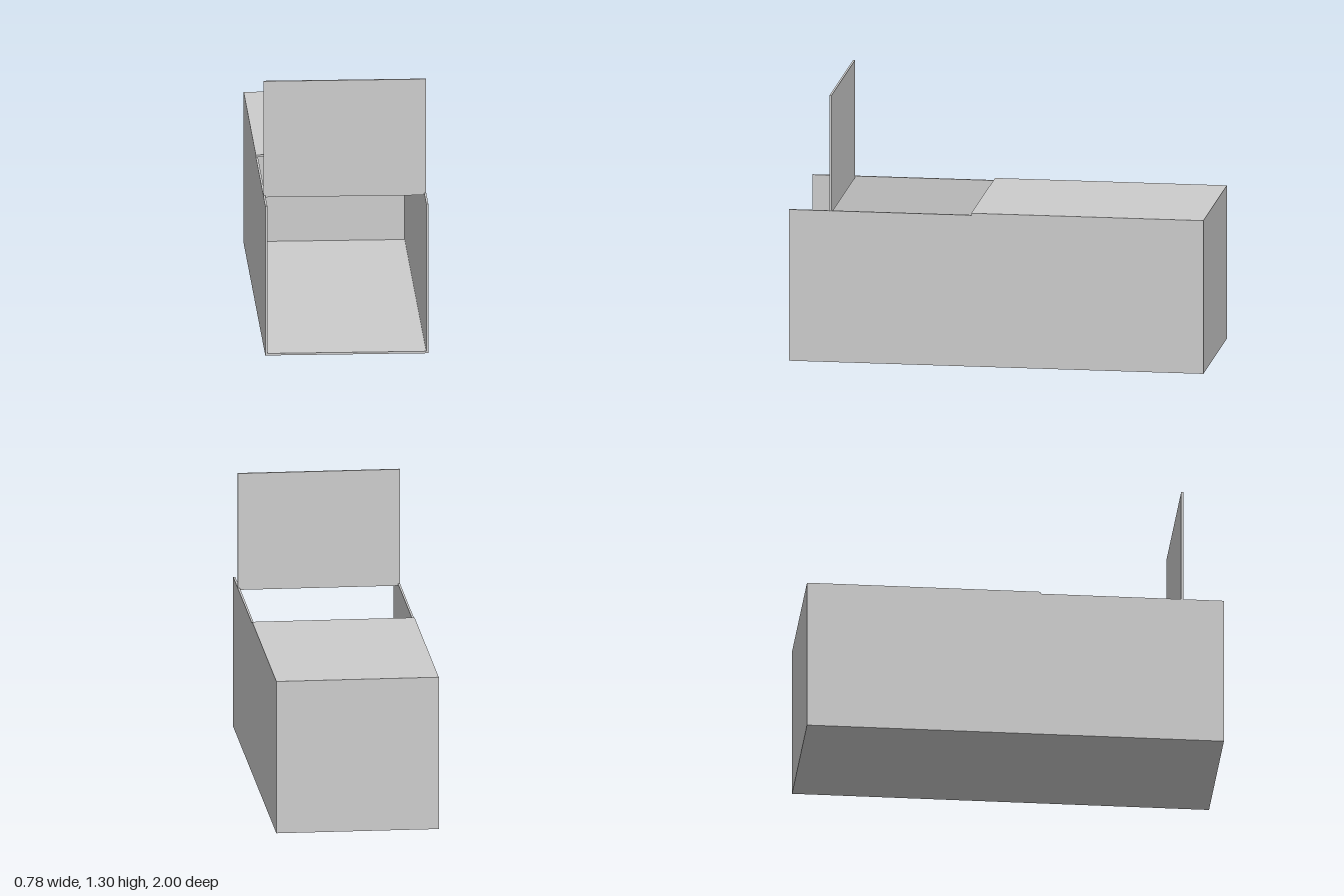
import * as THREE from 'three';

export function createModel() {
  const group = new THREE.Group();
  const material = new THREE.MeshStandardMaterial({ color: 0xcccccc, flatShading: true });
  const W = 0.78, L = 2, T = 0.01, WALL_TOP = 0.74;

  // Panel spanning the given min and max corners
  function panel(name, [x0, y0, z0], [x1, y1, z1]) {
    const mesh = new THREE.Mesh(new THREE.BoxGeometry(x1 - x0, y1 - y0, z1 - z0), material);
    mesh.position.set((x0 + x1) / 2, (y0 + y1) / 2, (z0 + z1) / 2);
    mesh.name = name;
    group.add(mesh);
  }

  const h = W / 2, e = L / 2;

  // Open-fronted box: floor, two side walls and back wall
  panel('floor', [-h, 0, -e], [h, T, e]);
  panel('leftWall', [h - T, T, -e], [h, WALL_TOP, e]);
  panel('rightWall', [-h, T, -e], [-h + T, WALL_TOP, e]);
  panel('backWall', [-h + T, T, -e], [h - T, WALL_TOP, -e + T]);

  // Roof over the rear part
  panel('roof', [-h, WALL_TOP, -e], [h, WALL_TOP + T, 0.12]);

  // Raised sliding door, its lower edge just below the wall tops
  panel('raisedDoor', [-h + 0.001, 0.73, 0.795], [h - 0.001, 1.305, 0.805]);

  return group;
}
